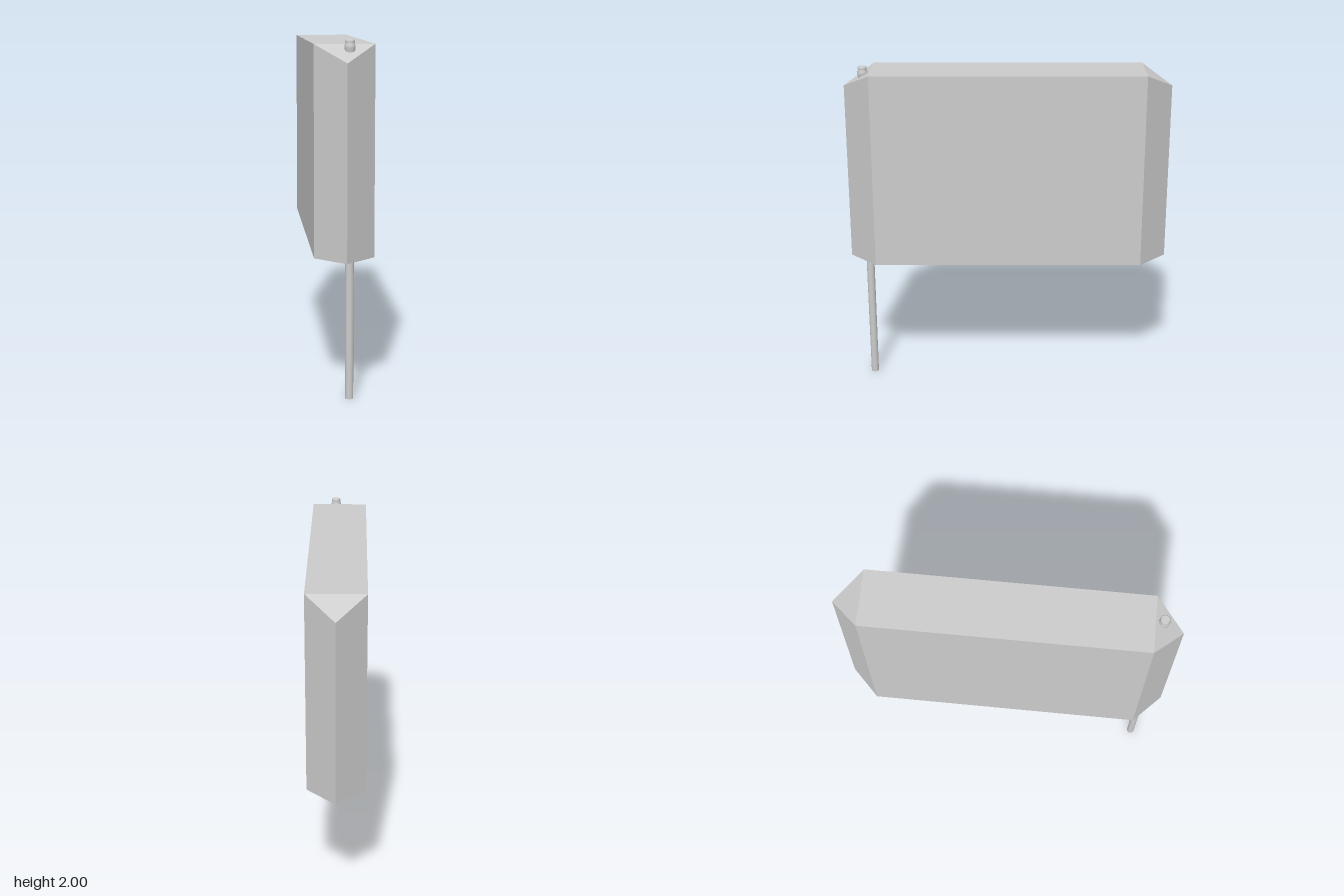
import * as THREE from 'three';

export function createModel() {
  const model = new THREE.Group();
  const grey = { color: 0xcccccc, side: THREE.DoubleSide };

  // Hollow shell: six walls, pointed at both ends, open underneath
  const BOTTOM = 0.795, TOP = 1.975, TIP_TOP = 1.878;
  const plan = [[0, 0.973], [0.168, 0.808], [0.168, -0.808], [0, -0.973], [-0.168, -0.808], [-0.168, 0.808]];
  const low = plan.map(([x, z]) => [x, BOTTOM, z]);
  const high = plan.map(([x, z]) => [x, x === 0 ? TIP_TOP : TOP, z]);
  const points = [];
  const tri = (...corners) => corners.forEach((c) => points.push(...c));
  for (let i = 0; i < 6; i++) {
    const j = (i + 1) % 6;
    tri(low[i], low[j], high[j]);
    tri(low[i], high[j], high[i]);
  }
  // Flat roof with a sloping triangle at each end
  for (const [a, b, c] of [[0, 1, 5], [3, 4, 2], [1, 2, 4], [1, 4, 5]]) tri(high[a], high[b], high[c]);
  const shellGeometry = new THREE.BufferGeometry();
  shellGeometry.setAttribute('position', new THREE.Float32BufferAttribute(points, 3));
  shellGeometry.computeVertexNormals();
  const shell = new THREE.Mesh(shellGeometry, new THREE.MeshStandardMaterial({ ...grey, flatShading: true }));
  shell.name = 'shell';
  model.add(shell);

  // Slender pole through the front end, with a collared cap above the roof
  const mount = new THREE.Group();
  mount.name = 'mount';
  mount.position.set(0.024, 0, 0.856);
  const lathe = (name, profile) => {
    const geometry = new THREE.LatheGeometry(profile.map(([r, y]) => new THREE.Vector2(r, y)), 16);
    const mesh = new THREE.Mesh(geometry, new THREE.MeshStandardMaterial(grey));
    mesh.name = name;
    mount.add(mesh);
  };
  lathe('pole', [[0, 0], [0.023, 0], [0.023, 0], [0.026, 1.94]]);
  lathe('cap', [[0.026, 1.93], [0.03, 1.955], [0.031, 1.968], [0.025, 1.98], [0.027, 1.985],
    [0.027, 1.996], [0.023, 2], [0.023, 2], [0, 2]]);
  model.add(mount);

  return model;
}
